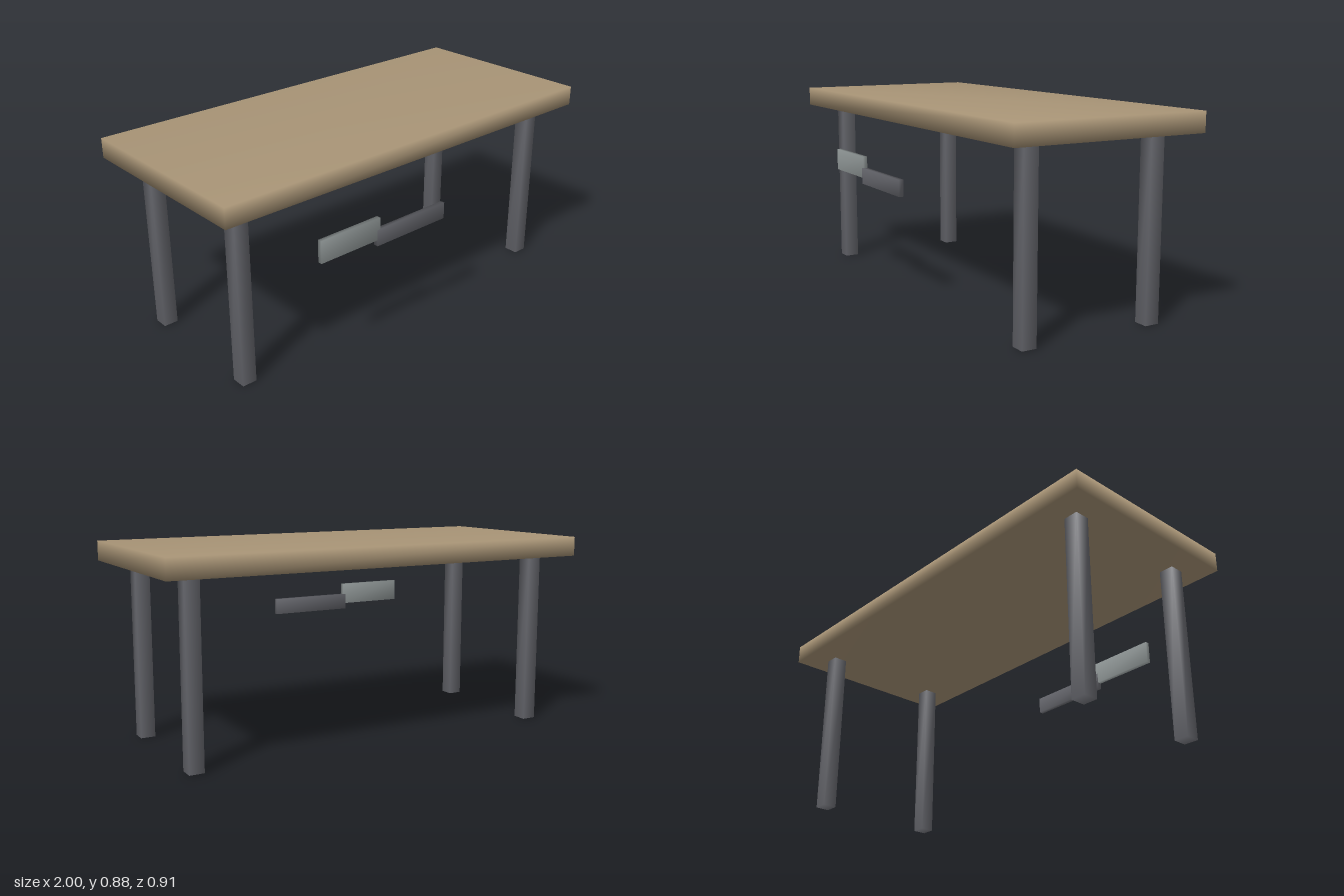
import * as THREE from 'three';
import { mergeVertices } from 'three/addons/utils/BufferGeometryUtils.js';

// Box with corners shared between faces, so it shades smoothly
function softBox(w, h, d) {
  const geometry = new THREE.BoxGeometry(w, h, d);
  geometry.deleteAttribute('normal');
  geometry.deleteAttribute('uv');
  const merged = mergeVertices(geometry);
  merged.computeVertexNormals();
  return merged;
}

export function createModel() {
  const model = new THREE.Group();
  model.name = 'table';

  const wood = new THREE.MeshStandardMaterial({ color: 0xa89476 });
  const darkMetal = new THREE.MeshStandardMaterial({ color: 0x626369 });
  const lightMetal = new THREE.MeshStandardMaterial({ color: 0x8f9696 });

  function add(name, geometry, material, x, y, z) {
    const mesh = new THREE.Mesh(geometry, material);
    mesh.name = name;
    mesh.position.set(x, y, z);
    model.add(mesh);
  }

  // Table top
  add('tableTop', softBox(2, 0.088, 0.89), wood, 0, 0.838, -0.011);

  // Four square legs
  const legGeometry = softBox(0.066, 0.795, 0.066);
  for (const [side, x] of [['Left', 0.857], ['Right', -0.857]]) {
    add('front' + side + 'Leg', legGeometry, darkMetal, x, 0.3975, 0.289);
    add('back' + side + 'Leg', legGeometry, darkMetal, x, 0.3975, -0.311);
  }

  // Two thin plates floating in front, below the top
  add('lightPlate', softBox(0.315, 0.1, 0.02), lightMetal, -0.421, 0.559, 0.446);
  add('darkPlate', softBox(0.395, 0.075, 0.021), darkMetal, -0.08, 0.5185, 0.446);

  return model;
}
